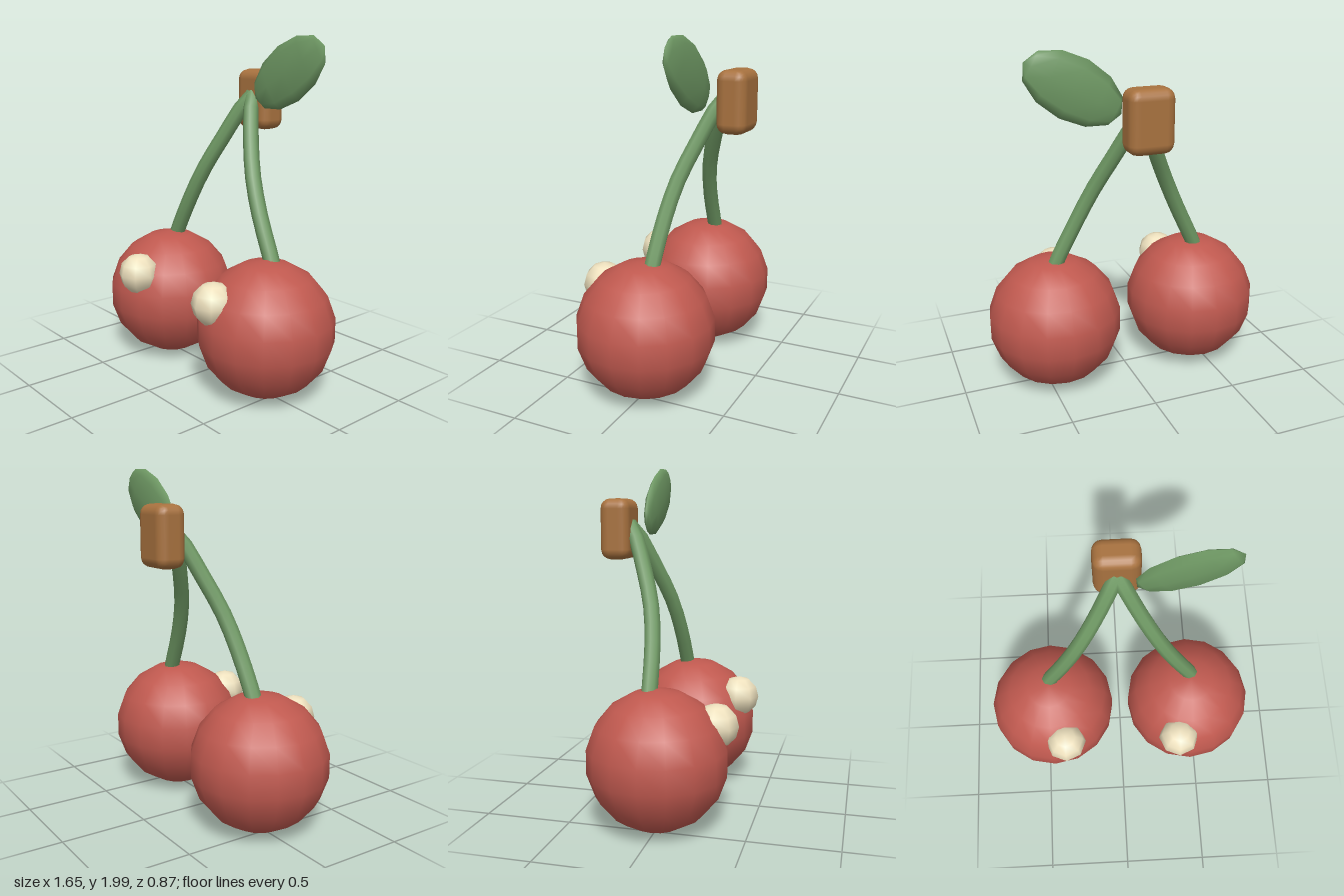
import * as THREE from 'three';
import { RoundedBoxGeometry } from 'three/addons/geometries/RoundedBoxGeometry.js';

const paint = (color) => new THREE.MeshStandardMaterial({ color });

function part(name, geometry, material, x = 0, y = 0, z = 0) {
  const mesh = new THREE.Mesh(geometry, material);
  mesh.name = name;
  mesh.position.set(x, y, z);
  return mesh;
}

export function createModel() {
  const model = new THREE.Group();
  model.name = 'cherryPair';
  const red = paint(0xc0594f);
  const green = paint(0x6f9964);
  const brown = paint(0xa8723f);
  const cream = paint(0xeee1be);

  for (const [side, s] of [['left', 1], ['right', -1]]) {
    // Fruit with a round highlight set into its front
    model.add(part(side + 'Cherry', new THREE.SphereGeometry(0.393, 16, 9), red, s * 0.44, 0.393, 0));
    model.add(part(side + 'Highlight', new THREE.SphereGeometry(0.123, 8, 6), cream, s * 0.353, 0.58, 0.31));

    // Stem: straight from the front, bowed back towards the twig
    const path = new THREE.CatmullRomCurve3([
      [0.455, 0.72, -0.042], [0.425, 0.79, -0.045], [0.32, 1.0, -0.06], [0.222, 1.2, -0.095],
      [0.123, 1.4, -0.165], [0.03, 1.6, -0.25], [0, 1.65, -0.29],
    ].map(([x, y, z]) => new THREE.Vector3(s * x, y, z)));
    model.add(part(side + 'Stem', new THREE.TubeGeometry(path, 10, 0.046, 8), green));
  }

  // Twig block joining the stems
  model.add(part('twig', new RoundedBoxGeometry(0.26, 0.35, 0.175, 2, 0.058), brown, 0, 1.625, -0.35));

  // Leaf: flattened low-poly ellipsoid, tilted up to the left
  const leaf = new THREE.SphereGeometry(1, 8, 6);
  leaf.scale(0.168, 0.3, 0.042);
  leaf.rotateZ(-Math.PI / 3);
  model.add(part('leaf', leaf, green, 0.36, 1.79, -0.218));

  return model;
}
